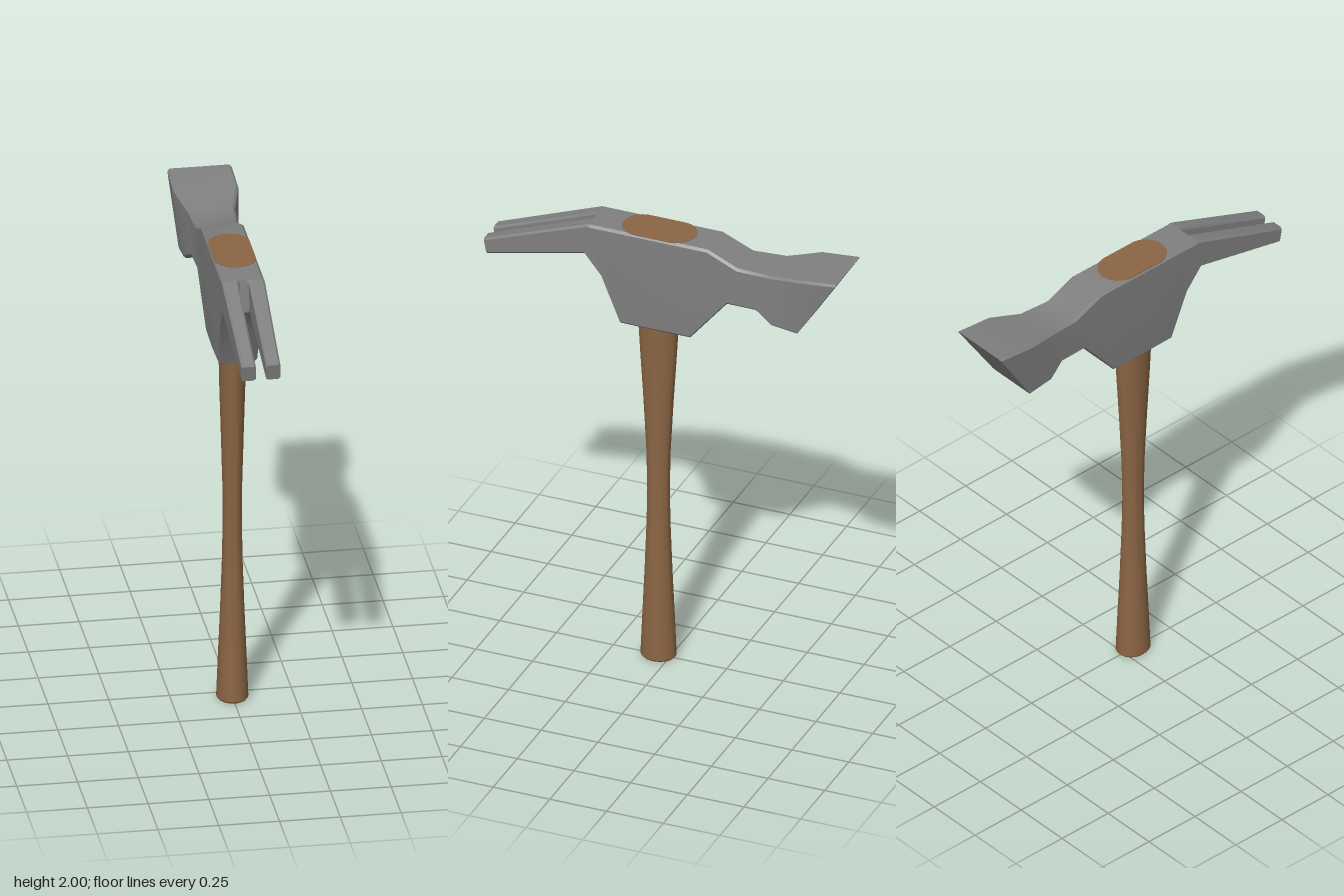
import * as THREE from 'three';
import { toCreasedNormals } from 'three/addons/utils/BufferGeometryUtils.js';

const steel = new THREE.MeshStandardMaterial({ color: 0x808080 });
steel.name = 'steel';
const wood = new THREE.MeshStandardMaterial({ color: 0x8b6544 });
wood.name = 'wood';

// Bevelled cross-section, counter-clockwise seen from +z.
// Station: top z, y; bottom z, y; x range at top; x range at bottom; side bulge.
function section({ top, bottom, xTop, xBottom, bulge = 0 }, bevel) {
  const height = Math.hypot(top[0] - bottom[0], top[1] - bottom[1]);
  const e = bevel / height;
  const point = (side, v, inset, out = 0) => {
    const left = THREE.MathUtils.lerp(xBottom[0], xTop[0], v) + inset - out;
    const right = THREE.MathUtils.lerp(xBottom[1], xTop[1], v) - inset + out;
    return [
      side < 0 ? left : right,
      THREE.MathUtils.lerp(bottom[1], top[1], v),
      THREE.MathUtils.lerp(bottom[0], top[0], v),
    ];
  };
  return [
    point(-1, 0, bevel), point(1, 0, bevel), point(1, e, 0), point(1, 0.5, 0, bulge), point(1, 1 - e, 0),
    point(1, 1, bevel), point(-1, 1, bevel), point(-1, 1 - e, 0), point(-1, 0.5, 0, bulge), point(-1, e, 0),
  ];
}

// Skin cross-sections ordered from back to front, with closed ends.
function loft(stations, bevel) {
  const rings = stations.map((s) => section(s, bevel));
  const n = rings[0].length;
  const index = [];
  for (let i = 0; i < rings.length - 1; i++) {
    for (let j = 0; j < n; j++) {
      const a = i * n + j, b = i * n + (j + 1) % n;
      index.push(a, b, b + n, a, b + n, a + n);
    }
  }
  const last = (rings.length - 1) * n;
  for (let j = 1; j < n - 1; j++) {
    index.push(0, j + 1, j);
    index.push(last, last + j, last + j + 1);
  }
  const g = new THREE.BufferGeometry();
  g.setAttribute('position', new THREE.Float32BufferAttribute(rings.flat(2), 3));
  g.setIndex(index);
  return toCreasedNormals(g, 0.5);
}

function add(group, name, geometry, material) {
  const mesh = new THREE.Mesh(geometry, material);
  mesh.name = name;
  group.add(mesh);
  return mesh;
}

export function createModel() {
  const model = new THREE.Group();
  model.name = 'hammer';

  // Head: flared striking end, neck and eye block
  const body = [
    [-0.787, 1.99, -0.605, 1.71, 0.133, 0.113, 0],
    [-0.62, 1.975, -0.49, 1.725, 0.134, 0.113, 0],
    [-0.48, 1.945, -0.415, 1.768, 0.097, 0.094, 0],
    [-0.335, 1.942, -0.285, 1.765, 0.089, 0.089, 0],
    [-0.2, 2, -0.12, 1.565, 0.088, 0.08, 0.004],
    [0.04, 2, 0.03, 1.565, 0.088, 0.083, 0.01],
    [0.27, 2, 0.185, 1.565, 0.088, 0.08, 0.004],
    [0.3, 2, 0.265, 1.765, 0.088, 0.085, 0],
    [0.325, 2, 0.345, 1.862, 0.088, 0.088, 0],
  ].map(([zt, yt, zb, yb, wt, wb, bulge]) => (
    { top: [zt, yt], bottom: [zb, yb], xTop: [-wt, wt], xBottom: [-wb, wb], bulge }));
  add(model, 'head', loft(body, 0.01), steel);

  // Pair of claws with a slot between them
  for (const side of [1, -1]) {
    const claw = [
      [0.32, 2, 0.34, 1.863, 0.008, 0.088],
      [0.334, 1.998, 0.354, 1.86, 0.022, 0.088],
      [0.788, 1.828, 0.775, 1.76, 0.021, 0.08],
    ].map(([zt, yt, zb, yb, inner, outer]) => {
      const x = side > 0 ? [inner, outer] : [-outer, -inner];
      return { top: [zt, yt], bottom: [zb, yb], xTop: x, xBottom: x };
    });
    add(model, side > 0 ? 'leftClaw' : 'rightClaw', loft(claw, 0.008), steel);
  }

  // Oval handle, slimmest at mid height
  const profile = [
    [0, 0], [0.068, 0], [0.075, 0.008], [0.068, 0.18], [0.058, 0.4], [0.05, 0.62],
    [0.047, 0.78], [0.051, 0.96], [0.064, 1.2], [0.077, 1.4], [0.089, 1.6], [0, 1.6],
  ].map(([r, y]) => new THREE.Vector2(r, y));
  const handle = new THREE.LatheGeometry(profile, 32);
  const p = handle.attributes.position;
  for (let i = 0; i < p.count; i++) {
    const y = p.getY(i);
    const ratio = y < 0.78 ? 0.87 - 0.04 * y / 0.78 : 0.83 - 0.2 * (y - 0.78) / 0.82;
    p.setX(i, p.getX(i) * ratio);
  }
  add(model, 'handle', toCreasedNormals(handle, 0.6), wood).position.z = 0.05;

  // Handle end showing through the eye
  const r = 0.085, h = 0.075;
  const oval = new THREE.Shape();
  oval.absarc(0, h, r, 0, Math.PI, false);
  oval.absarc(0, -h, r, Math.PI, Math.PI * 2, false);
  const eye = new THREE.ExtrudeGeometry(oval, { depth: 0.004, bevelEnabled: false, curveSegments: 16 });
  eye.rotateX(-Math.PI / 2);
  add(model, 'handleEnd', eye, wood).position.set(0, 1.998, 0.045);

  return model;
}
